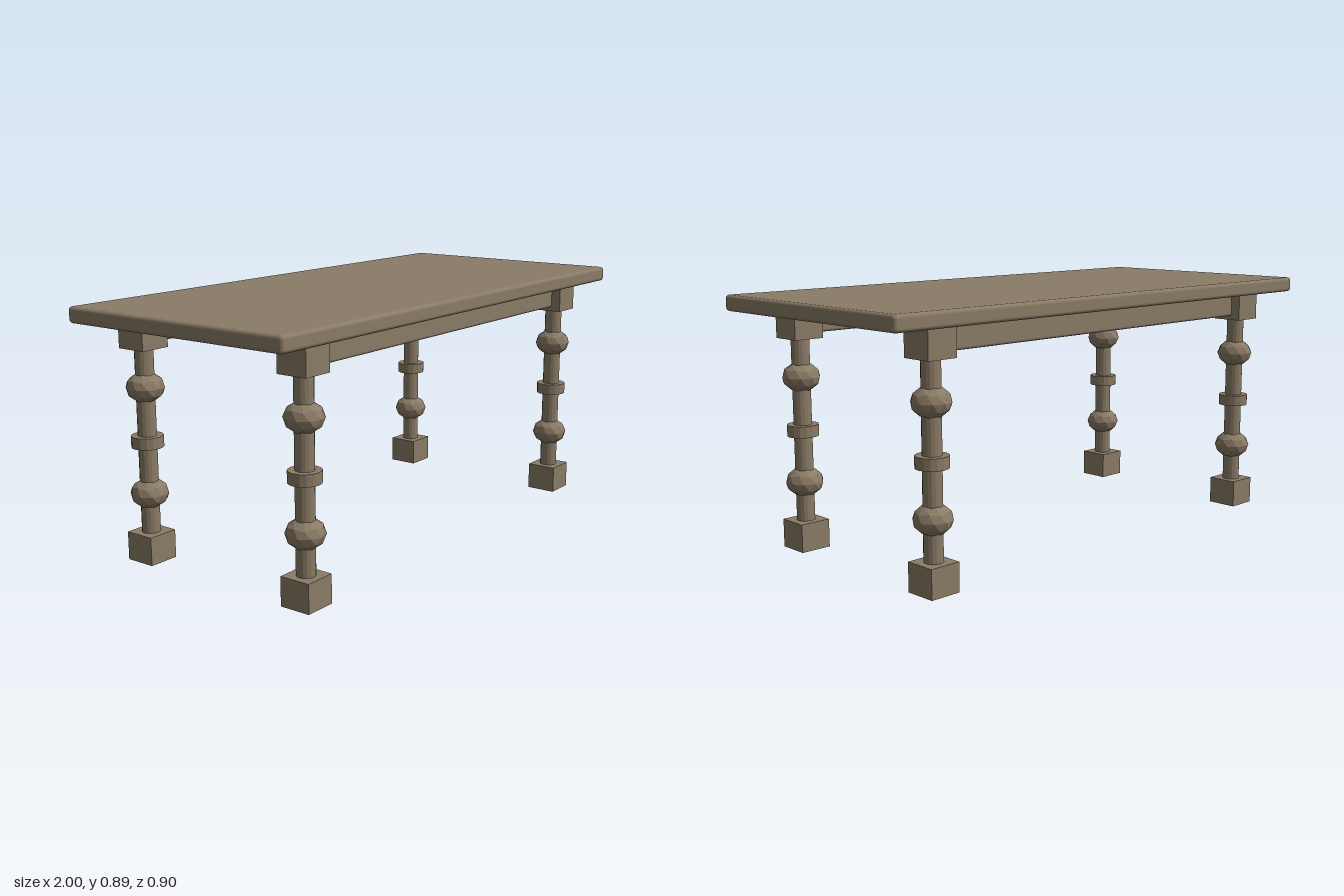
import * as THREE from 'three';
import { RoundedBoxGeometry } from 'three/addons/geometries/RoundedBoxGeometry.js';

const wood = new THREE.MeshStandardMaterial({ color: 0x8a7b66 });
wood.name = 'brownWood';

// Non-indexed copy with one normal per face
function faceted(geometry) {
  const flat = geometry.index ? geometry.toNonIndexed() : geometry;
  flat.computeVertexNormals();
  return flat;
}

function add(parent, name, geometry, x, y, z) {
  const mesh = new THREE.Mesh(geometry, wood);
  mesh.name = name;
  mesh.position.set(x, y, z);
  parent.add(mesh);
  return mesh;
}

export function createModel() {
  const table = new THREE.Group();
  table.name = 'table';
  const legX = 0.78, legZ = 0.345;

  // Tabletop with softened edges
  add(table, 'tabletop', new RoundedBoxGeometry(2, 0.055, 0.905, 3, 0.013), 0, 0.8675, 0);

  // Shared leg pieces
  const block = new THREE.BoxGeometry(0.113, 0.1, 0.113);
  const shaft = faceted(new THREE.CylinderGeometry(0.032, 0.032, 0.66, 16));
  const collar = faceted(new THREE.CylinderGeometry(0.055, 0.055, 0.04, 16));
  // Flattened low-poly ball with a corner at its pole
  const ball = new THREE.IcosahedronGeometry(0.066, 1);
  ball.rotateX(-Math.atan((1 + Math.sqrt(5)) / 2));
  ball.rotateY(Math.PI / 2);
  ball.scale(1, 0.8, 1);
  faceted(ball);

  for (const sz of [1, -1]) {
    // Long rail under the top
    add(table, sz > 0 ? 'frontRail' : 'backRail',
      new RoundedBoxGeometry(1.5, 0.09, 0.04, 2, 0.01), 0, 0.8, sz * legZ);

    // Turned legs
    for (const sx of [1, -1]) {
      const leg = new THREE.Group();
      leg.name = (sz > 0 ? 'front' : 'back') + (sx > 0 ? 'Left' : 'Right') + 'Leg';
      leg.position.set(sx * legX, 0, sz * legZ);
      add(leg, 'foot', block, 0, 0.05, 0);
      add(leg, 'topBlock', block, 0, 0.79, 0);
      add(leg, 'shaft', shaft, 0, 0.42, 0);
      add(leg, 'collar', collar, 0, 0.42, 0);
      add(leg, 'lowerBall', ball, 0, 0.237, 0);
      add(leg, 'upperBall', ball, 0, 0.606, 0);
      table.add(leg);
    }
  }
  return table;
}
